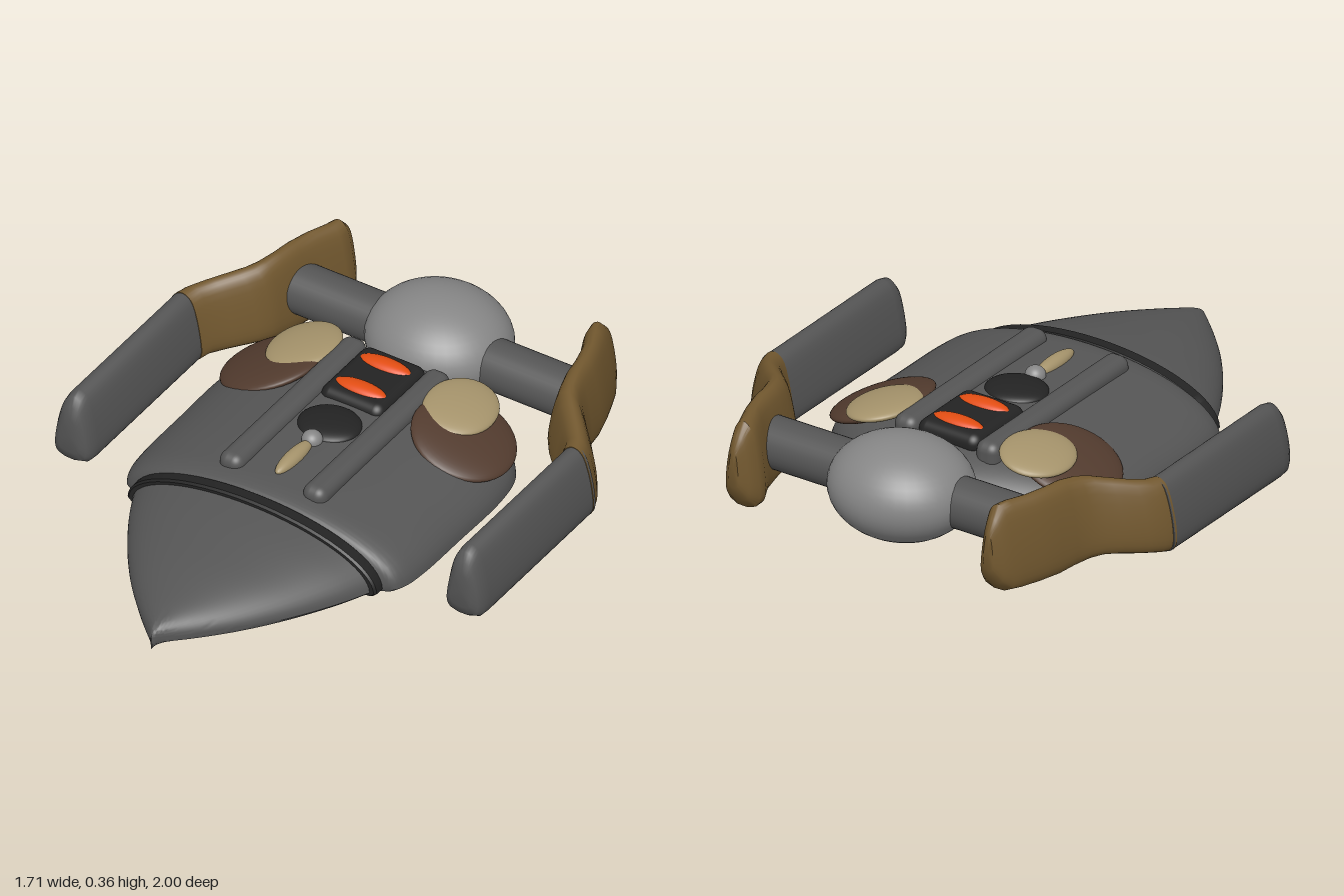
import * as THREE from 'three';
import { toCreasedNormals } from 'three/addons/utils/BufferGeometryUtils.js';
import { RoundedBoxGeometry } from 'three/addons/geometries/RoundedBoxGeometry.js';

const mat = (name, color) => {
  const m = new THREE.MeshStandardMaterial({ color });
  m.name = name;
  return m;
};

// Skin a list of rings (counter-clockwise seen from +z, ordered from back to front) and cap both ends.
function loft(rings, crease = 0.6) {
  const n = rings[0].length, pos = [], idx = [];
  rings.forEach(r => r.forEach(p => pos.push(...p)));
  for (let i = 0; i < rings.length - 1; i++) {
    for (let j = 0; j < n; j++) {
      const a = i * n + j, b = i * n + (j + 1) % n;
      idx.push(a, b, a + n, b, b + n, a + n);
    }
  }
  [0, rings.length - 1].forEach((k, end) => {
    const c = [0, 1, 2].map(d => rings[k].reduce((s, p) => s + p[d], 0) / n);
    const ci = pos.length / 3;
    pos.push(...c);
    for (let j = 0; j < n; j++) {
      const a = k * n + j, b = k * n + (j + 1) % n;
      end ? idx.push(ci, a, b) : idx.push(ci, b, a);
    }
  });
  const g = new THREE.BufferGeometry();
  g.setAttribute('position', new THREE.Float32BufferAttribute(pos, 3));
  g.setIndex(idx);
  return toCreasedNormals(g, crease);
}

// Domed hull section with a shallow V underneath.
function hullRing(z, w, top, base = 0.05, keel = 0.012) {
  const ring = [], n = 32;
  for (let i = 0; i <= n; i++) {
    const t = Math.PI * i / n;
    ring.push([w * Math.cos(t), base + (top - base) * Math.sin(t), z]);
  }
  ring.push([-w * 0.97, base - 0.013, z], [0, keel, z], [w * 0.97, base - 0.013, z]);
  return ring;
}

// Smooth [z, half width, top] stations into many hull rings.
function hull(stations, steps) {
  const curve = new THREE.CatmullRomCurve3(stations.map(([z, w, t]) => new THREE.Vector3(w, t, z)), false, 'centripetal');
  return loft(curve.getPoints(steps).map(p => hullRing(p.z, Math.max(p.x, 0.002), p.y, Math.min(0.05, p.y - 0.01))));
}

// Unit arm section: wide rounded foot, narrow rounded crest (u across outward, v up).
const armProfile = new THREE.CatmullRomCurve3([
  [0.8, 0], [1, 0.13], [0.93, 0.45], [0.55, 0.88], [0.2, 1], [-0.2, 1],
  [-0.55, 0.88], [-0.9, 0.45], [-1, 0.13], [-0.8, 0],
].map(([u, v]) => new THREE.Vector3(u, v, 0)), true, 'centripetal').getPoints(32).slice(0, -1);

// Arm skin from stations [z, inner x, outer x, bottom, top].
function arm(stations, side) {
  return loft(stations.map(([z, xi, xo, b, t]) => {
    const r = armProfile.map(p => [side * ((xi + xo) / 2 + p.x * (xo - xi) / 2), b + p.y * (t - b), z]);
    return side < 0 ? r.reverse() : r;
  }), 0.8);
}

export function createModel() {
  const root = new THREE.Group();
  root.name = 'craft';
  const grey = mat('hull grey', 0x555555);
  const light = mat('light grey', 0x868686);
  const bronze = mat('bronze', 0x72582f);
  const brown = mat('dark brown', 0x523b2e);
  const tan = mat('tan', 0xa5936b);
  const orange = mat('orange', 0xe24d12);
  const black = mat('black', 0x232323);

  const add = (name, geo, material, x = 0, y = 0, z = 0) => {
    const m = new THREE.Mesh(geo, material);
    m.name = name;
    m.position.set(x, y, z);
    root.add(m);
    return m;
  };
  const ball = (name, material, p, r) => {
    const m = add(name, new THREE.SphereGeometry(1, 40, 24), material, ...p);
    m.scale.set(...r);
    return m;
  };

  // Hull, seam and pointed nose
  add('body', hull([
    [-0.62, 0.22, 0.17], [-0.59, 0.32, 0.2], [-0.5, 0.45, 0.235], [-0.4, 0.535, 0.25], [-0.28, 0.563, 0.255],
    [0, 0.565, 0.255], [0.2, 0.562, 0.252], [0.29, 0.55, 0.248], [0.33, 0.53, 0.238], [0.35, 0.49, 0.222],
  ], 60), grey);
  add('seam', loft([
    hullRing(0.338, 0.488, 0.23, 0.05, 0.002), hullRing(0.345, 0.493, 0.236, 0.05, 0),
    hullRing(0.383, 0.493, 0.236, 0.05, 0), hullRing(0.39, 0.485, 0.228, 0.05, 0.002),
  ]), black);
  add('nose', hull([
    [0.36, 0.483, 0.222], [0.48, 0.425, 0.205], [0.6, 0.354, 0.184], [0.7, 0.285, 0.165], [0.8, 0.205, 0.142],
    [0.9, 0.11, 0.116], [0.965, 0.04, 0.094], [0.988, 0.014, 0.078], [1, 0.002, 0.06],
  ], 50), grey);

  // Rear engine ball
  ball('engineBall', light, [0, 0.184, -0.76], [0.258, 0.177, 0.234]);

  for (const side of [1, -1]) {
    const s = side > 0 ? 'left' : 'right';
    // Cross bar from ball to arm
    const bar = add(s + 'CrossBar', new THREE.CylinderGeometry(0.09, 0.09, 0.4, 32), grey, side * 0.37, 0.18, -0.742);
    bar.rotation.z = Math.PI / 2;

    // Side arm: bronze rear and grey front
    add(s + 'ArmRear', arm([
      [-1, 0.495, 0.535, 0.13, 0.26], [-0.975, 0.468, 0.562, 0.08, 0.305], [-0.94, 0.447, 0.582, 0.045, 0.342],
      [-0.9, 0.452, 0.597, 0.04, 0.343], [-0.83, 0.488, 0.622, 0.04, 0.343], [-0.75, 0.508, 0.645, 0.04, 0.343],
      [-0.68, 0.52, 0.656, 0.043, 0.342], [-0.62, 0.535, 0.678, 0.05, 0.335], [-0.58, 0.545, 0.71, 0.056, 0.327],
      [-0.54, 0.575, 0.752, 0.055, 0.315], [-0.48, 0.635, 0.805, 0.046, 0.298], [-0.43, 0.682, 0.838, 0.038, 0.287],
      [-0.385, 0.698, 0.852, 0.032, 0.283],
    ], side), bronze);
    add(s + 'ArmFront', arm([
      [-0.4, 0.7, 0.85, 0.032, 0.281], [0.24, 0.7, 0.85, 0.03, 0.281], [0.275, 0.703, 0.847, 0.032, 0.272],
      [0.297, 0.714, 0.836, 0.045, 0.245], [0.308, 0.735, 0.815, 0.075, 0.2],
    ], side), grey);

    // Deck rail
    add(s + 'Rail', new RoundedBoxGeometry(0.092, 0.1, 0.8, 5, 0.036), grey, side * 0.165, 0.232, -0.12);

    // Shoulder patches
    const patch = ball(s + 'ShoulderPatch', brown, [side * 0.378, 0.198, -0.325], [0.185, 0.036, 0.185]);
    patch.rotation.z = -side * 0.36;
    const pad = ball(s + 'ShoulderPad', tan, [side * 0.31, 0.244, -0.412], [0.124, 0.03, 0.146]);
    pad.rotation.z = -side * 0.2;
  }

  // Deck details along the centre line
  add('ventBase', new RoundedBoxGeometry(0.25, 0.08, 0.3, 6, 0.038), black, 0, 0.243, -0.355);
  for (const z of [-0.43, -0.28]) ball('ventGlow', orange, [0, 0.276, z], [0.1, 0.024, 0.037]);
  ball('hatch', black, [0, 0.25, -0.09], [0.112, 0.03, 0.1]);
  ball('knob', light, [0, 0.258, 0.018], [0.036, 0.034, 0.036]);
  ball('lever', tan, [0, 0.255, 0.13], [0.029, 0.026, 0.105]);

  return root;
}
